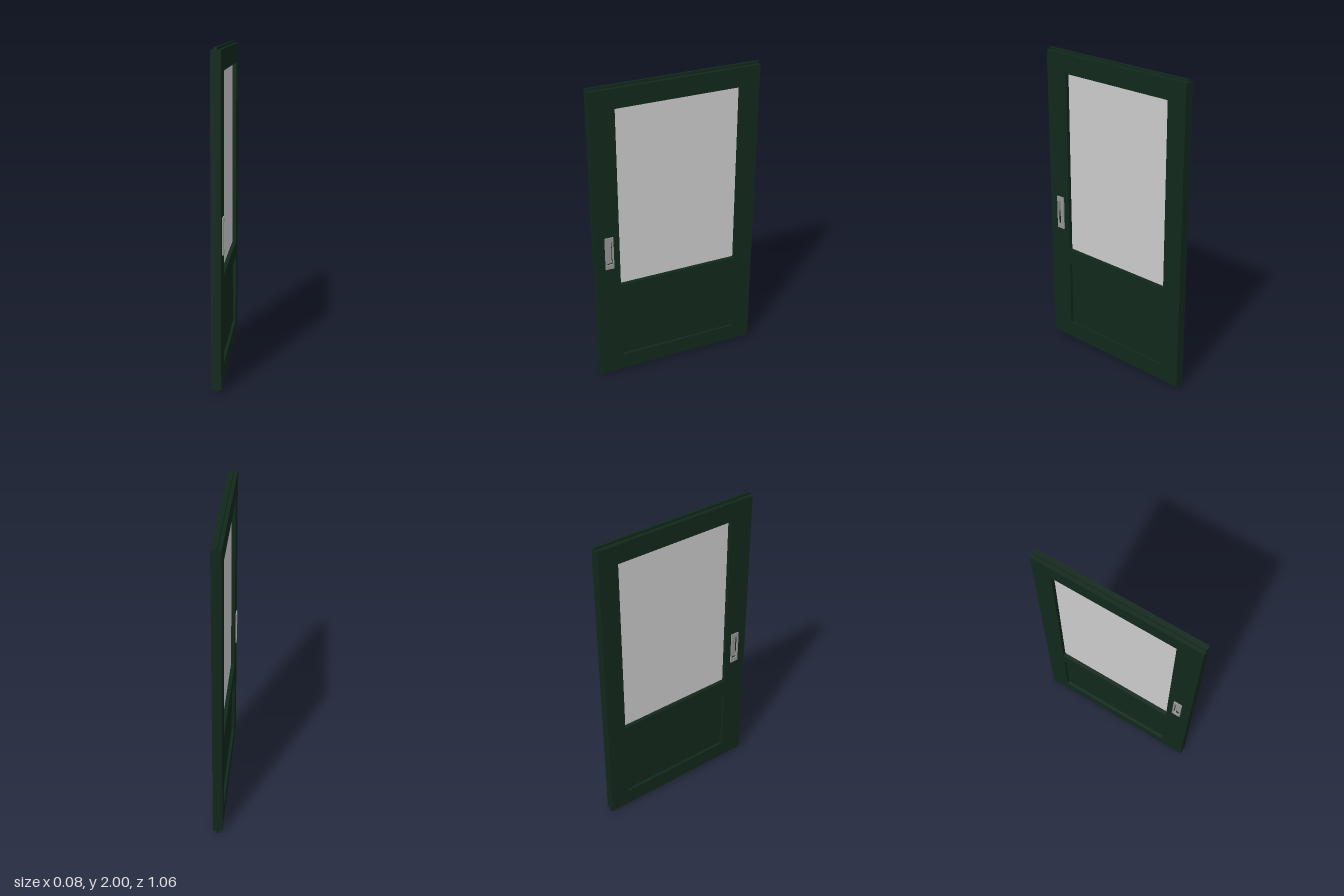
import * as THREE from 'three';

const green = new THREE.MeshStandardMaterial({ color: 0x12281c });
const grey = new THREE.MeshStandardMaterial({ color: 0xcccccc });
const metal = new THREE.MeshStandardMaterial({ color: 0x959595 });

// Rectangles are [z0, z1, y0, y1] in the plane of the door
const DOOR = [-0.53, 0.53, 0.02, 1.985];
const WINDOW = [-0.405, 0.375, 0.68, 1.865];
const PANEL = [-0.405, 0.375, 0.13, 0.575];
const PULL = [0.415, 0.47, 0.82, 1.04];
const CUP = [0.425, 0.46, 0.85, 1.01];

function outline([z0, z1, y0, y1], Type) {
  return new Type([[z0, y0], [z1, y0], [z1, y1], [z0, y1]].map(([z, y]) => new THREE.Vector2(z, y)));
}

// Slab between two x values, with optional rectangular openings
function slab(name, rect, x0, x1, material, holes = []) {
  const shape = outline(rect, THREE.Shape);
  shape.holes = holes.map((h) => outline(h, THREE.Path));
  const geometry = new THREE.ExtrudeGeometry(shape, { depth: x1 - x0, bevelEnabled: false });
  geometry.rotateY(-Math.PI / 2).translate(x1, 0, 0);
  const mesh = new THREE.Mesh(geometry, material);
  mesh.name = name;
  return mesh;
}

export function createModel() {
  const door = new THREE.Group();
  door.name = 'slidingDoor';

  // Stiles and rails in one frame, with the infill set back in its openings
  door.add(
    slab('doorFrame', DOOR, -0.03, 0.03, green, [WINDOW, PANEL, CUP]),
    slab('windowPane', WINDOW, -0.006, 0.006, grey),
    slab('lowerPanel', PANEL, -0.012, 0.012, green),
    // Guide tongues along the top and bottom edges
    slab('topTongue', [-0.53, 0.53, 1.985, 2], -0.007, 0.007, green),
    slab('bottomTongue', [-0.53, 0.53, 0, 0.02], -0.007, 0.007, green),
    // Shared floor of the recessed pulls
    slab('pullCup', CUP, -0.02, 0.02, metal),
  );

  // Pull surround on each face
  for (const side of [-1, 1]) {
    const x0 = side > 0 ? 0.02 : -0.038;
    door.add(slab(side > 0 ? 'leftPull' : 'rightPull', PULL, x0, x0 + 0.018, metal, [CUP]));
  }
  return door;
}
